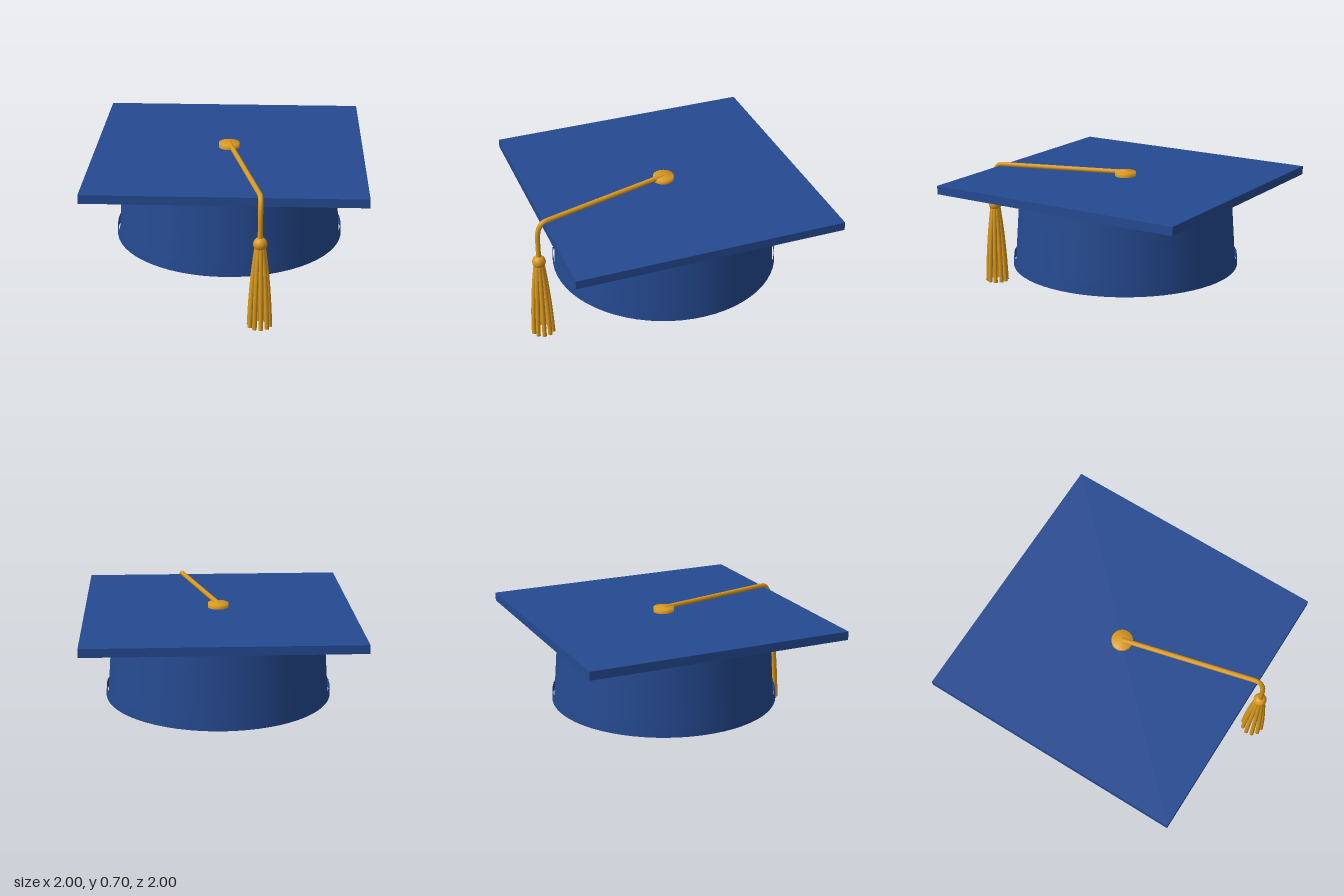
import * as THREE from 'three';

const blue = new THREE.MeshStandardMaterial({ color: 0x254a91, side: THREE.DoubleSide });
blue.name = 'blue cloth';
const gold = new THREE.MeshStandardMaterial({ color: 0xd9991f });
gold.name = 'gold thread';

const v3 = (x, y, z) => new THREE.Vector3(x, y, z);

function add(parent, name, geometry, material) {
  const mesh = new THREE.Mesh(geometry, material);
  mesh.name = name;
  parent.add(mesh);
  return mesh;
}

// Tube along a path, closed by a flat disc at its far end
function cappedTube(parent, name, curve, segments, radius) {
  add(parent, name, new THREE.TubeGeometry(curve, segments, radius, 10), gold);
  const cap = add(parent, name + 'End', new THREE.CircleGeometry(radius, 10), gold);
  cap.position.copy(curve.getPoint(1));
  cap.quaternion.setFromUnitVectors(v3(0, 0, 1), curve.getTangent(1));
}

export function createModel() {
  const cap = new THREE.Group();
  cap.name = 'graduationCap';

  // Square board, turned so its corners face the axes
  const board = add(cap, 'board', new THREE.BoxGeometry(Math.SQRT2, 0.045, Math.SQRT2), blue);
  board.position.y = 0.6475;
  board.rotation.y = Math.PI / 4;

  // Hollow crown, open below, with a band around its rim
  const crown = add(cap, 'crown', new THREE.CylinderGeometry(0.564, 0.595, 0.435, 64, 1, true), blue);
  crown.position.y = 0.4125;
  const band = add(cap, 'band', new THREE.CylinderGeometry(0.603, 0.606, 0.055, 64, 1, true), blue);
  band.position.y = 0.2225;

  // Button with a soft edge
  const buttonProfile = [[0.055, 0.669], [0.055, 0.694], [0, 0.697]].map(p => new THREE.Vector2(...p));
  add(cap, 'button', new THREE.LatheGeometry(buttonProfile, 32), gold);

  // Cord lying across the board and hanging over its edge
  const cord = new THREE.CurvePath();
  cord.add(new THREE.LineCurve3(v3(0, 0.69, 0), v3(0.615, 0.68, 0.365)));
  cord.add(new THREE.CubicBezierCurve3(
    v3(0.615, 0.68, 0.365), v3(0.648, 0.68, 0.388), v3(0.655, 0.63, 0.4), v3(0.655, 0.575, 0.4)));
  cord.add(new THREE.LineCurve3(v3(0.655, 0.575, 0.4), v3(0.655, 0.44, 0.4)));
  cappedTube(cap, 'cord', cord, 80, 0.013);

  // Tassel: a round knot and a ring of spreading strands
  const tassel = new THREE.Group();
  tassel.name = 'tassel';
  tassel.position.set(0.655, 0, 0.4);
  cap.add(tassel);
  add(tassel, 'knot', new THREE.SphereGeometry(0.035, 24, 16), gold).position.y = 0.445;
  const strands = 10;
  for (let i = 0; i < strands; i++) {
    const a = (i / strands) * Math.PI * 2;
    const at = (r, y) => v3(r * Math.cos(a), y, r * Math.sin(a));
    const path = new THREE.CatmullRomCurve3([at(0.016, 0.44), at(0.033, 0.3), at(0.046, 0.14), at(0.053, 0.001)]);
    cappedTube(tassel, 'strand', path, 12, 0.0115);
  }
  return cap;
}
